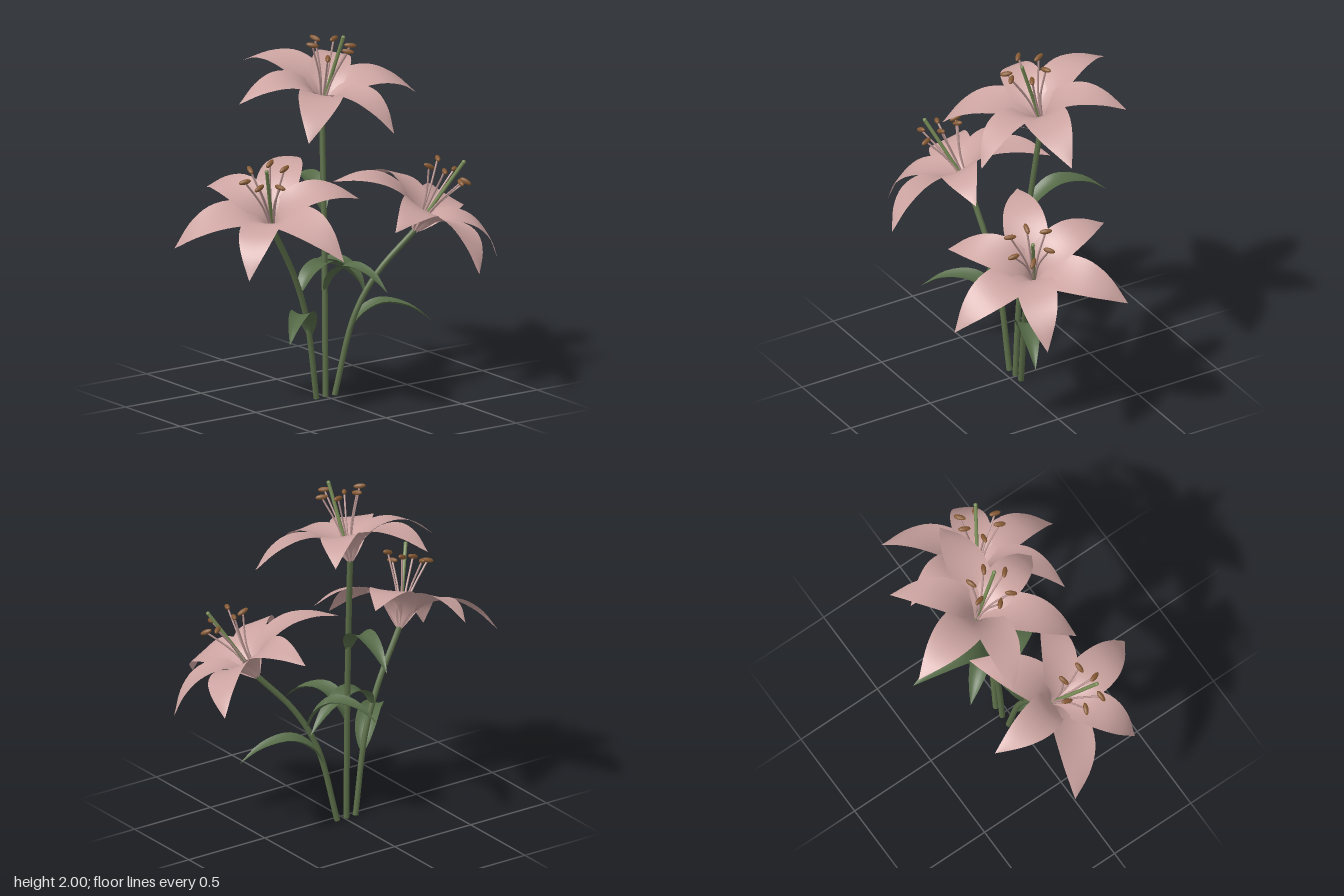
import * as THREE from 'three';

const V = (x, y, z) => new THREE.Vector3(x, y, z);
const UP = V(0, 1, 0);

function mat(name, color, side = THREE.FrontSide) {
  const m = new THREE.MeshStandardMaterial({ color, side });
  m.name = name;
  return m;
}

function add(parent, name, geometry, material) {
  const mesh = new THREE.Mesh(geometry, material);
  mesh.name = name;
  parent.add(mesh);
  return mesh;
}

const spline = (...points) => new THREE.CatmullRomCurve3(points);

// Curved blade along a spine: tapered outline, cupped cross-section
function bladeGeometry(curve, side, halfWidth, outline, cup, rows, cols) {
  const pos = [], idx = [];
  for (let i = 0; i <= rows; i++) {
    const u = i / rows, p = curve.getPoint(u);
    const n = side.clone().cross(curve.getTangent(u)).normalize();
    const w = halfWidth * outline(u);
    for (let j = 0; j <= cols; j++) {
      const v = (j / cols) * 2 - 1;
      const q = p.clone().addScaledVector(side, w * v).addScaledVector(n, cup(u) * w * v * v);
      pos.push(q.x, q.y, q.z);
    }
  }
  for (let i = 0; i < rows; i++) {
    for (let j = 0; j < cols; j++) {
      const a = i * (cols + 1) + j, b = a + cols + 1;
      idx.push(a, a + 1, b, a + 1, b + 1, b);
    }
  }
  const g = new THREE.BufferGeometry();
  g.setAttribute('position', new THREE.Float32BufferAttribute(pos, 3));
  g.setIndex(idx);
  g.computeVertexNormals();
  return g;
}

const petalOutline = (u) => Math.sin(Math.PI * Math.pow(u, 0.93)) + 0.1 * (1 - u);
const petalCup = (u) => 0.45 * (1 - u) - 0.12;
const leafOutline = (u) => Math.sin(Math.PI * Math.pow(u, 0.85)) + 0.1 * (1 - u);
const leafCup = () => 0.35;

export function createModel() {
  const petalMat = mat('dusty pink petal', 0xcca4a1, THREE.DoubleSide);
  const filamentMat = mat('pink filament', 0xbf9a97);
  const stemMat = mat('stem green', 0x5a6d47);
  const leafMat = mat('leaf green', 0x566b48, THREE.DoubleSide);
  const styleMat = mat('pale green', 0x788c56);
  const antherMat = mat('anther brown', 0x875a34);

  const root = new THREE.Group();
  root.name = 'flowerBunch';

  // Stem with a closed foot
  function addStem(parent, path) {
    add(parent, 'stem', new THREE.TubeGeometry(path, 28, 0.016, 10), stemMat);
    const foot = add(parent, 'stemFoot', new THREE.CircleGeometry(0.016, 10), stemMat);
    foot.rotation.x = Math.PI / 2;
    foot.position.copy(path.getPoint(0));
  }

  // Leaf arching from the stem to its tip
  function addLeaf(parent, base, tip) {
    const arch = (t, rise) => base.clone().lerp(tip, t).addScaledVector(UP, rise);
    const curve = spline(base, arch(0.13, 0.092), arch(0.38, 0.145), arch(0.72, 0.1), tip);
    const side = tip.clone().sub(base).cross(UP).normalize();
    add(parent, 'leaf', bladeGeometry(curve, side, 0.058, leafOutline, leafCup, 16, 6), leafMat);
  }

  // Bloom: six petals and stamens turned about the axis, starting at the lead petal
  function addBloom(parent, centre, axis, lead, styleTip) {
    const bend = centre.clone().lerp(styleTip, 0.5).addScaledVector(axis, 0.01);
    add(parent, 'style', new THREE.TubeGeometry(spline(centre, bend, styleTip), 8, 0.01, 8), styleMat);
    const stigma = add(parent, 'stigma', new THREE.SphereGeometry(0.0115, 8, 6), styleMat);
    stigma.position.copy(styleTip);

    const first = lead.clone().sub(centre).projectOnPlane(axis).normalize();
    for (let i = 0; i < 6; i++) {
      const out = first.clone().applyAxisAngle(axis, (i * Math.PI) / 3);
      const side = out.clone().cross(axis);
      const at = (r, h) => centre.clone().addScaledVector(out, r).addScaledVector(axis, h);

      // Long broad and short narrow petals alternate
      const R = i % 2 ? 0.49 : 0.545;
      const halfWidth = i % 2 ? 0.1 : 0.112;
      const spine = spline(at(0.008, 0), at(0.1 * R, 0.09), at(0.29 * R, 0.165),
        at(0.56 * R, 0.19), at(0.8 * R, 0.15), at(R, 0.064));
      add(parent, 'petal', bladeGeometry(spine, side, halfWidth, petalOutline, petalCup, 20, 8), petalMat);

      // Slender filament with an anther lying across its end
      const top = 0.38 + 0.02 * Math.sin(i * 2.4);
      const thread = spline(at(0.008, 0.03), at(0.04, 0.2), at(0.11, top));
      add(parent, 'filament', new THREE.TubeGeometry(thread, 8, 0.0055, 6), filamentMat);
      const anther = add(parent, 'anther', new THREE.SphereGeometry(1, 10, 8), antherMat);
      anther.scale.set(0.014, 0.034, 0.014);
      anther.position.copy(at(0.112, top + 0.006));
      const lie = out.addScaledVector(side, 0.6 * Math.sin(i * 1.7)).normalize();
      anther.quaternion.setFromUnitVectors(UP, lie);
    }
  }

  // Whole plant; each leaf is its place along the stem and its tip
  function addPlant(name, { path, axis, lead, styleTip, leaves }) {
    const plant = new THREE.Group();
    plant.name = name;
    root.add(plant);
    addStem(plant, path);
    for (const { along, tip } of leaves) addLeaf(plant, path.getPointAt(along), tip);
    axis.normalize();
    const centre = path.getPoint(1).addScaledVector(axis, -0.015);
    addBloom(plant, centre, axis, lead, styleTip);
  }

  addPlant('middleFlower', {
    path: spline(V(-0.01, 0, -0.04), V(0, 0.5, -0.06), V(0.022, 1, -0.1), V(0.055, 1.57, -0.165)),
    axis: V(-0.02, 0.96, 0.26),
    lead: V(-0.11, 1.77, -0.66),
    styleTip: V(0.093, 1.98, -0.02),
    leaves: [{ along: 0.635, tip: V(0.09, 1.05, -0.555) }, { along: 0.36, tip: V(0.15, 0.62, 0.31) }],
  });
  addPlant('rightFlower', {
    path: spline(V(-0.07, 0, -0.04), V(-0.145, 0.45, -0.025), V(-0.235, 0.7, -0.01), V(-0.4, 1, 0.015)),
    axis: V(-0.34, 0.89, 0.28),
    lead: V(-0.91, 0.94, -0.185),
    styleTip: V(-0.565, 1.38, 0.19),
    leaves: [{ along: 0.33, tip: V(-0.47, 0.42, 0.27) }, { along: 0.58, tip: V(0.27, 0.57, -0.1) }],
  });
  addPlant('leftFlower', {
    path: spline(V(0.05, 0, -0.04), V(0.15, 0.43, 0), V(0.265, 0.66, 0.05), V(0.46, 0.89, 0.13)),
    axis: V(0.38, 0.87, 0.3),
    lead: V(0.91, 0.88, -0.19),
    styleTip: V(0.68, 1.26, 0.27),
    leaves: [{ along: 0.33, tip: V(0.545, 0.38, 0.17) }, { along: 0.57, tip: V(-0.05, 0.62, -0.275) }],
  });
  return root;
}
